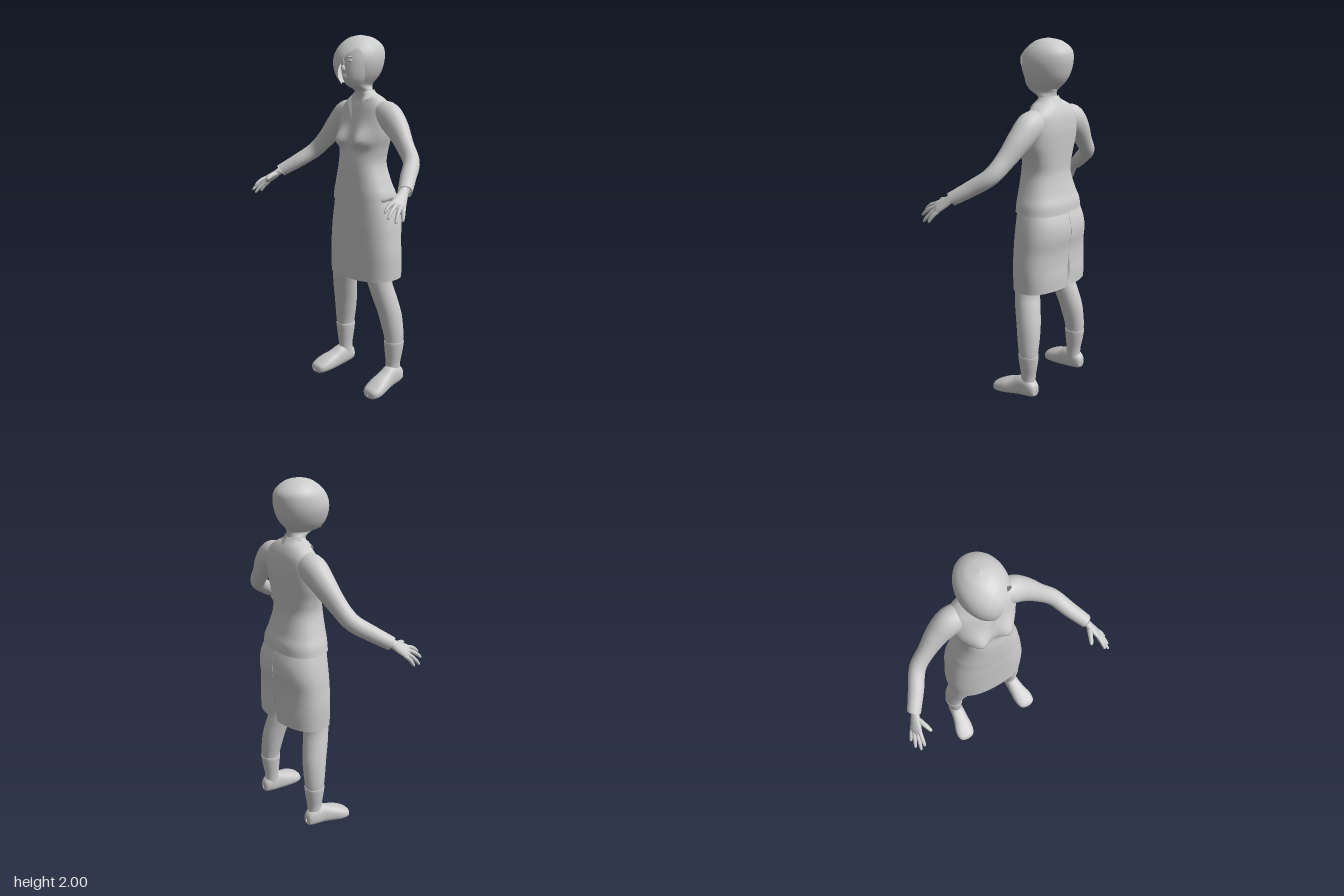
import * as THREE from 'three';

const grey = new THREE.MeshStandardMaterial({ color: 0xcccccc, side: THREE.DoubleSide });
grey.name = 'light grey';
const V = (x, y, z) => new THREE.Vector3(x, y, z);

// Smooth interpolation through rows of numbers, t from 0 to 1
function sample(rows, times = rows.map((_, i) => i / (rows.length - 1))) {
  const it = new THREE.CubicInterpolant(times, rows.flat(), rows[0].length, new Float32Array(rows[0].length));
  return t => Array.from(it.evaluate(t));
}

// Surface from f(u, v): u runs along the part, v around it
function loft(name, f, nu, nv, closed = true) {
  const pos = [], idx = [], cols = closed ? nv : nv + 1;
  for (let i = 0; i <= nu; i++)
    for (let j = 0; j < cols; j++) pos.push(...f(i / nu, j / nv).toArray());
  for (let i = 0; i < nu; i++)
    for (let j = 0; j < nv; j++) {
      const a = i * cols + j, b = i * cols + (j + 1) % cols, c = b + cols, d = a + cols;
      idx.push(a, b, c, a, c, d);
    }
  const g = new THREE.BufferGeometry();
  g.setAttribute('position', new THREE.Float32BufferAttribute(pos, 3));
  g.setIndex(idx);
  g.computeVertexNormals();
  const m = new THREE.Mesh(g, grey);
  m.name = name;
  return m;
}

const pw = (s, n) => Math.sign(s) * Math.abs(s) ** (2 / n);
// Level cross-section; row = [y, centre x, half width, front z, back z]; angle 0 faces +z
function ring([y, xc, hw, zf, zb], a, n = 2) {
  return V(xc + hw * pw(Math.sin(a), n), y, (zf + zb) / 2 + (zf - zb) / 2 * pw(Math.cos(a), n));
}
function column(name, rows, nu, nv, n) {
  const s = sample(rows);
  return loft(name, (u, v) => ring(s(u), v * Math.PI * 2, n), nu, nv);
}

// Limb along a curve; row = [x, y, z, radius along ref, other radius]
function limb(name, rows, nu, nv, ref = V(0, 1, 0)) {
  const curve = new THREE.CatmullRomCurve3(rows.map(r => V(r[0], r[1], r[2])));
  const rad = sample(rows.map(r => [r[3], r[4] ?? r[3]]));
  return loft(name, (u, v) => {
    const T = curve.getTangent(u), a = v * Math.PI * 2, [r1, r2] = rad(u);
    const U = ref.clone().addScaledVector(T, -ref.dot(T)).normalize();
    const W = T.clone().cross(U);
    return curve.getPoint(u).addScaledVector(U, r1 * Math.cos(a)).addScaledVector(W, r2 * Math.sin(a));
  }, nu, nv);
}

function blob(name, x, y, z, sx, sy, sz) {
  const m = new THREE.Mesh(new THREE.SphereGeometry(1, 14, 10), grey);
  m.name = name;
  m.position.set(x, y, z);
  m.scale.set(sx, sy, sz);
  return m;
}

function jacket() {
  const s = sample([
    [1.09, 0, .205, .027, -.25], [1.14, 0, .195, .027, -.245], [1.2, 0, .173, .025, -.225],
    [1.3, 0, .145, .02, -.205], [1.38, 0, .155, .005, -.207], [1.46, 0, .178, -.005, -.212],
    [1.54, 0, .182, -.022, -.215], [1.61, 0, .17, -.042, -.207], [1.655, 0, .125, -.058, -.188],
    [1.685, 0, .07, -.06, -.165], [1.7, 0, .054, -.06, -.158]]);
  return loft('jacket', (u, v) => {
    const p = ring(s(u), v * Math.PI * 2, 2.4);
    // Bust: steep underneath, gentle above
    if (p.z > -.1) {
      const dy = (p.y - 1.425) / (p.y < 1.425 ? .03 : .07), dx = (Math.abs(p.x) - .08) / .052;
      p.z += .045 * Math.exp(-dy * dy - dx * dx);
    }
    return p;
  }, 60, 56);
}

function collar() {
  // Ribbon that folds over the neckline and runs down to the point of the opening
  const edge = pts => new THREE.CatmullRomCurve3(
    [...pts, ...pts.slice(1, -1).reverse().map(p => [-p[0], p[1], p[2]])].map(p => V(...p)), true);
  const outer = edge([[0, 1.5, -.006], [.03, 1.585, -.022], [.072, 1.65, -.045], [.087, 1.668, -.11], [0, 1.668, -.185]]);
  const inner = edge([[0, 1.515, -.008], [.018, 1.6, -.03], [.048, 1.67, -.055], [.066, 1.7, -.11], [0, 1.708, -.163]]);
  return loft('collar', (u, v) => outer.getPoint(v).lerp(inner.getPoint(v), u), 2, 48);
}

function skirt() {
  const s = sample([
    [.655, 0, .24, .022, -.262], [.73, 0, .243, .022, -.262], [.8, 0, .243, .022, -.258], [.88, 0, .236, .022, -.26],
    [.96, 0, .228, .022, -.272], [1.03, 0, .215, .02, -.268], [1.1, 0, .196, .018, -.244], [1.13, 0, .18, .015, -.23]]);
  return loft('skirt', (u, v) => {
    const row = s(u);
    // V-shaped slit up the centre back
    const gap = .001 + .06 * Math.max(0, (.84 - row[0]) / .185);
    const a = -Math.PI + gap + v * (2 * Math.PI - 2 * gap);
    const p = ring(row, a, 2.4);
    p.y -= .01 * Math.cos(a) * (1 - u);
    return p;
  }, 32, 56, false);
}

function head() {
  const g = new THREE.Group();
  g.name = 'head';
  g.add(column('faceAndNeck', [
    [1.6, 0, .06, -.06, -.165], [1.66, 0, .056, -.058, -.16], [1.7, 0, .052, -.048, -.152], [1.718, 0, .048, -.01, -.152],
    [1.732, 0, .05, .018, -.155], [1.765, 0, .066, .038, -.165], [1.82, 0, .08, .046, -.19], [1.88, 0, .085, .046, -.2],
    [1.94, 0, .078, .025, -.18], [1.98, 0, .03, -.04, -.1]], 40, 32));
  g.add(blob('nose', 0, 1.82, .047, .011, .018, .017), blob('noseBridge', 0, 1.846, .044, .007, .026, .009));
  g.add(blob('upperLip', 0, 1.782, .039, .02, .005, .009), blob('lowerLip', 0, 1.772, .036, .017, .006, .009));
  for (const x of [-.035, .035])
    g.add(blob('eye', x, 1.858, .033, .015, .008, .01), blob('brow', x, 1.878, .033, .02, .005, .012));

  // Bob with a long fringe: the hem height follows the direction around the head
  const rows = [
    [1.7, -.008, .055, .025, -.12], [1.74, -.008, .075, .042, -.155], [1.77, -.01, .097, .062, -.185], [1.8, -.011, .112, .073, -.206],
    [1.85, -.013, .127, .077, -.223], [1.9, -.014, .126, .064, -.23], [1.94, -.016, .112, .036, -.222],
    [1.97, -.016, .085, .0, -.19], [1.99, -.016, .05, -.04, -.145], [2, -.016, .001, -.088, -.09]];
  const shape = sample(rows, rows.map(r => r[0]));
  const hem = [[-180, 1.73], [-110, 1.735], [-60, 1.745], [-32, 1.725], [-20, 1.74], [0, 1.815], [25, 1.895],
    [45, 1.93], [58, 1.9], [68, 1.83], [80, 1.75], [95, 1.735], [180, 1.73]];
  const hemAt = deg => {
    const i = Math.min(hem.length - 2, hem.findIndex((h, k) => k + 1 < hem.length && deg <= hem[k + 1][0]));
    const [a, b] = [hem[i], hem[i + 1]];
    return a[1] + (b[1] - a[1]) * (deg - a[0]) / (b[0] - a[0]);
  };
  g.add(loft('hair', (u, v) => {
    const deg = Math.min(180, -180 + v * 360);
    const y = 2 - (2 - hemAt(deg)) * (1 - Math.cos((1 - u) * Math.PI / 2));
    return ring(shape(y), deg * Math.PI / 180);
  }, 26, 72));
  return g;
}

function arm() {
  const g = new THREE.Group();
  g.name = 'arm';
  g.add(limb('sleeve', [[.1, 1.59, -.125, .06], [.17, 1.565, -.125, .078, .07], [.24, 1.51, -.12, .069, .062], [.33, 1.415, -.098, .053, .046],
    [.405, 1.34, -.068, .046, .044], [.465, 1.275, .015, .042], [.525, 1.218, .097, .037]], 36, 24));
  g.add(limb('cuff', [[.525, 1.218, .097, .037], [.524, 1.219, .096, .03], [.515, 1.228, .083, .028]], 3, 24));
  const across = V(.47, -.47, -.75).normalize();
  g.add(limb('palm', [[.5, 1.242, .063, .024, .022], [.52, 1.222, .1, .024, .019], [.538, 1.195, .132, .031, .018],
    [.56, 1.166, .175, .041, .014], [.569, 1.154, .19, .034, .004]], 14, 18, across));
  // Fingers: [knuckle, tip]
  const fingers = {
    indexFinger: [[.546, 1.18, .195], [.557, 1.135, .268]], middleFinger: [[.557, 1.168, .185], [.582, 1.108, .27]],
    ringFinger: [[.567, 1.157, .17], [.603, 1.085, .237]], littleFinger: [[.575, 1.148, .155], [.608, 1.09, .193]],
    thumb: [[.53, 1.2, .125], [.49, 1.178, .225]] };
  for (const [name, [k, t]] of Object.entries(fingers)) {
    const at = (f, lift) => [0, 1, 2].map(i => k[i] + (t[i] - k[i]) * f + (i === 1 ? lift : 0));
    const r = name === 'thumb' ? .014 : .011;
    g.add(limb(name, [[...at(0, 0), r], [...at(.4, .007), r], [...at(.75, .006), r * .85], [...at(.95, .001), r * .6], [...at(1, 0), .001]], 10, 10));
  }
  return g;
}

function leg() {
  const g = new THREE.Group();
  g.name = 'leg';
  const calf = [[.08, .21, .036, -.105, -.185], [.15, .21, .036, -.105, -.185], [.22, .212, .045, -.098, -.197], [.3, .213, .053, -.09, -.205]];
  g.add(column('bareLeg', [...calf, [.38, .203, .061, -.076, -.206], [.46, .19, .066, -.06, -.2], [.55, .171, .07, -.036, -.18],
    [.64, .15, .075, -.02, -.158], [.75, .13, .084, -.015, -.18], [.86, .115, .09, -.01, -.21]], 36, 24));
  g.add(column('sock', [...calf.slice(0, 3), [.28, .213, .051, -.092, -.204], [.281, .213, .046, -.096, -.2]]
    .map(([y, x, w, f, b], i) => i < 4 ? [y, x, w + .004, f + .004, b - .004] : [y, x, w, f, b]), 20, 24));
  // Shoe rows: [z, centre x, half width, bottom y, top y]
  const s = sample([[-.207, .214, .004, .055, .075], [-.2, .214, .028, .036, .108], [-.16, .214, .042, .026, .138], [-.105, .216, .045, .016, .138],
    [-.055, .222, .051, .008, .112], [0, .231, .06, .002, .09], [.045, .236, .057, 0, .066], [.07, .237, .04, .003, .05], [.08, .237, .003, .015, .028]]);
  g.add(loft('shoe', (u, v) => {
    const [z, x, w, b, t] = s(u), a = v * Math.PI * 2;
    return V(x + w * pw(Math.cos(a), 2.5), (b + t) / 2 + (t - b) / 2 * pw(Math.sin(a), 2.5), z);
  }, 32, 28));
  return g;
}

export function createModel() {
  const model = new THREE.Group();
  model.name = 'womanInSkirtSuit';
  model.add(jacket(), collar(), skirt(), head());
  for (const [side, sx] of [['left', 1], ['right', -1]]) {
    const limbs = new THREE.Group();
    limbs.name = side + 'Limbs';
    limbs.scale.x = sx;
    limbs.add(arm(), leg());
    model.add(limbs);
  }
  return model;
}
